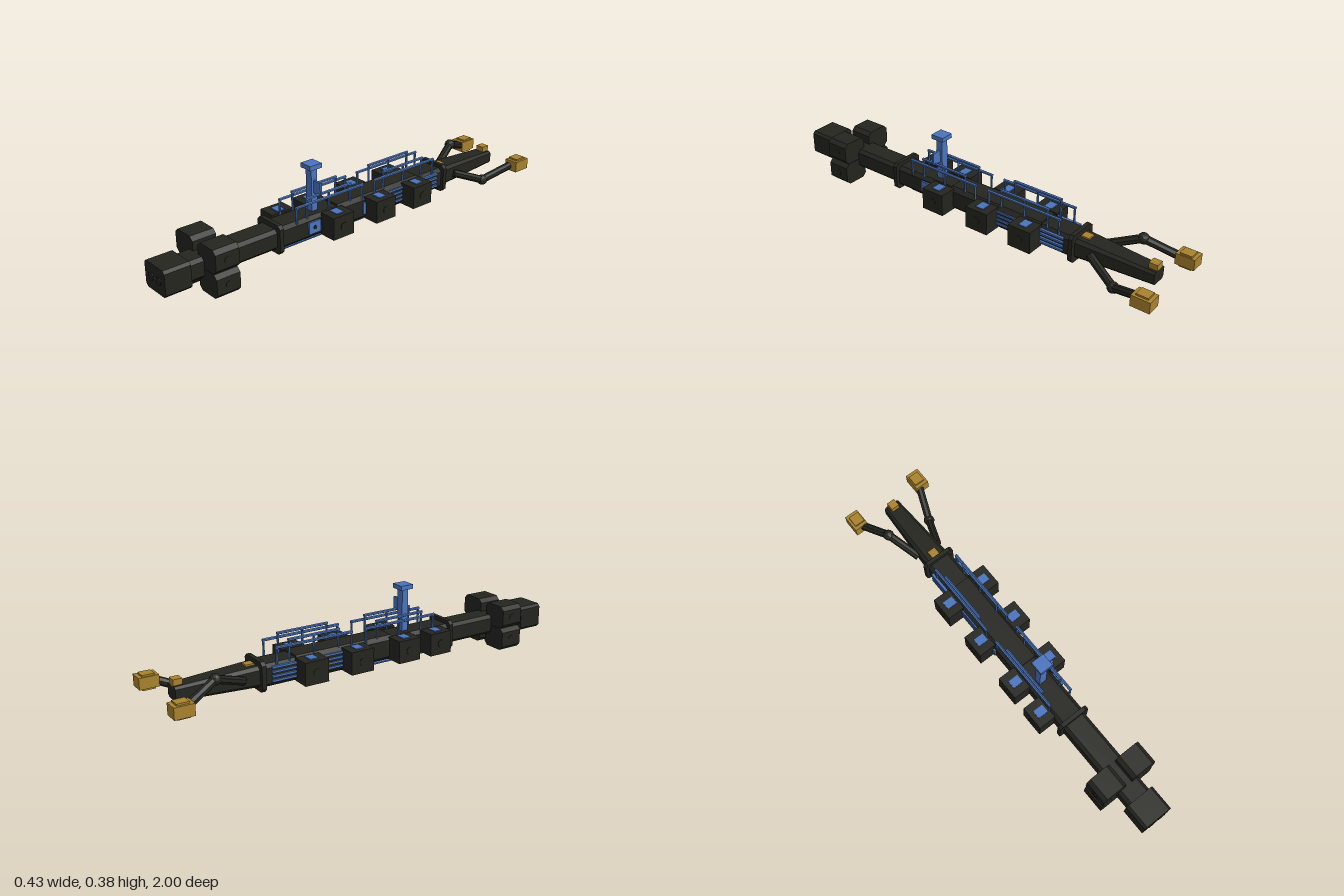
import * as THREE from 'three';

const mat = (color) => new THREE.MeshStandardMaterial({ color, flatShading: true });

export function createModel() {
  const model = new THREE.Group();
  const dark = mat(0x24251f), blue = mat(0x4a74bd), gold = mat(0xa8822e);

  const add = (name, geometry, material) => {
    const mesh = new THREE.Mesh(geometry, material);
    mesh.name = name;
    model.add(mesh);
    return mesh;
  };
  const box = (name, material, w, h, d, x, y, z) => {
    const mesh = add(name, new THREE.BoxGeometry(w, h, d), material);
    mesh.position.set(x, y, z);
    return mesh;
  };
  // Bar along z with chamfered long edges, spanning x0..x1, y0..y1, z0..z1
  const bar = (name, material, x0, x1, y0, y1, z0, z1, c) => {
    const w = (x1 - x0) / 2, h = (y1 - y0) / 2;
    const s = new THREE.Shape([[-w + c, -h], [w - c, -h], [w, -h + c], [w, h - c], [w - c, h],
      [-w + c, h], [-w, h - c], [-w, -h + c]].map(([x, y]) => new THREE.Vector2(x, y)));
    const g = new THREE.ExtrudeGeometry(s, { depth: z1 - z0, bevelEnabled: false });
    const mesh = add(name, g, material);
    mesh.position.set((x0 + x1) / 2, (y0 + y1) / 2, z0);
    return mesh;
  };
  // Straight rod between two points
  const rod = (name, material, a, b, r, sides = 6) => {
    const p = new THREE.Vector3(...a), q = new THREE.Vector3(...b);
    const mesh = add(name, new THREE.CylinderGeometry(r, r, p.distanceTo(q), sides), material);
    mesh.position.copy(p).lerp(q, 0.5);
    mesh.quaternion.setFromUnitVectors(new THREE.Vector3(0, 1, 0), q.sub(p).normalize());
    return mesh;
  };

  // Hull sections
  bar('frontHull', dark, -0.058, 0.058, 0.062, 0.156, 0.43, 0.9, 0.015);
  bar('mainHull', dark, -0.062, 0.062, 0.058, 0.16, -0.54, 0.43, 0.016);
  bar('midHull', dark, -0.066, 0.066, 0.054, 0.168, -0.38, 0.11, 0.018);
  for (const z of [0.435, -0.545]) bar('collar', dark, -0.078, 0.078, 0.044, 0.178, z - 0.01, z + 0.01, 0.015);

  // Nose block with twin ports and a central stud
  bar('noseBlock', dark, -0.073, 0.073, 0.049, 0.167, 0.875, 0.995, 0.012);
  for (const s of [-1, 1]) rod('nosePort', dark, [s * 0.028, 0.108, 0.99], [s * 0.028, 0.108, 0.998], 0.018, 12);
  const stud = add('noseStud', new THREE.OctahedronGeometry(0.009), gold);
  stud.position.set(0, 0.108, 0.991);

  // Cluster of four blocks around the front hull
  for (const s of [-1, 1]) for (const [y0, y1] of [[0, 0.107], [0.109, 0.215]]) {
    const a = s * 0.018, b = s * 0.143;
    bar('clusterBlock', dark, Math.min(a, b), Math.max(a, b), y0, y1, 0.695, 0.807, 0.018);
    const y = (y0 + y1) / 2;
    rod('clusterPort', dark, [s * 0.14, y, 0.75], [s * 0.145, y, 0.75], 0.016, 12);
  }

  // Tail boom, tapering toward the rear
  const tail = bar('tailBoom', dark, -0.058, 0.058, 0.062, 0.156, -0.92, -0.55, 0.015);
  const tp = tail.geometry.attributes.position;
  for (let i = 0; i < tp.count; i++) if (tp.getZ(i) < 0.1) {
    tp.setX(i, tp.getX(i) * 0.68);
    tp.setY(i, tp.getY(i) * 0.66);
  }
  tail.geometry.computeVertexNormals();
  box('tailLamp', gold, 0.04, 0.03, 0.04, 0, 0.152, -0.9);
  box('tailPlate', gold, 0.04, 0.012, 0.04, 0, 0.156, -0.58);

  // Bent rear arms: one elbow up, one down, each with a foot
  for (const s of [-1, 1]) {
    const hip = [s * 0.055, 0.11, -0.63], elbow = [s * 0.112, 0.11 - s * 0.06, -0.78], wrist = [s * 0.17, 0.11, -0.93];
    rod('upperArm', dark, hip, elbow, 0.019, 8);
    rod('lowerArm', dark, elbow, wrist, 0.019, 8);
    const joint = add('elbow', new THREE.IcosahedronGeometry(0.026, 1), dark);
    joint.position.set(...elbow);
    box('foot', gold, 0.067, 0.052, 0.088, s * 0.179, 0.109, -0.956);
    box('footPad', gold, 0.05, 0.068, 0.055, s * 0.176, 0.109, -0.956);
  }

  // Side pods with blue caps and round ports
  for (const s of [-1, 1]) for (const z of s < 0 ? [-0.33, -0.1, 0.15, 0.325] : [-0.33, -0.1, 0.15]) {
    box('sidePod', dark, 0.085, 0.104, 0.115, s * 0.1, 0.111, z);
    box('podCap', blue, 0.05, 0.008, 0.04, s * 0.094, 0.163, z);
    rod('podPort', dark, [s * 0.14, 0.111, z], [s * 0.145, 0.111, z], 0.018, 12);
  }

  // Side hatch, bracket and louvre slats
  for (const s of [-1, 1]) {
    for (const z of [-0.213, -0.445]) for (let i = 0; i < 4; i++)
      box('slat', blue, 0.012, 0.009, 0.115, s * 0.066, 0.085 + i * 0.02, z);
    box('bracket', blue, 0.014, 0.055, 0.014, s * 0.067, 0.112, -0.033);
  }
  box('hatch', blue, 0.016, 0.056, 0.065, 0.062, 0.112, 0.25);
  rod('hatchKnob', dark, [0.068, 0.112, 0.25], [0.073, 0.112, 0.25], 0.009, 8);

  // Stepped deck railings
  const rail = (x, zFront, zBack, top, posts) => {
    for (const z of posts) rod('railPost', blue, [x, 0.15, z], [x, top, z], 0.0055);
    rod('rail', blue, [x, top, zFront + 0.005], [x, top, zBack - 0.005], 0.007);
  };
  for (const s of [-1, 1]) for (const z of [0.34, -0.105]) {
    rail(s * 0.058, z, z - 0.37, 0.225, [z, z - 0.37]);
    rail(s * 0.049, z - 0.062, z - 0.305, 0.246, [z - 0.062, z - 0.185, z - 0.305]);
  }

  // Mast with cap and side panel
  box('mast', blue, 0.037, 0.21, 0.032, 0, 0.26, 0.21);
  box('mastCap', blue, 0.064, 0.021, 0.064, 0, 0.367, 0.21);
  box('mastPanel', blue, 0.048, 0.058, 0.01, 0.04, 0.274, 0.21);

  // Keel pipe and belly lamps
  rod('keelPipe', blue, [0, 0.031, 0.395], [0, 0.031, -0.085], 0.011, 8);
  for (const z of [0.385, 0.155, -0.075]) rod('keelStrut', blue, [0, 0.031, z], [0, 0.065, z], 0.008);
  for (const z of [0.235, -0.1]) box('bellyLamp', gold, 0.045, 0.016, 0.04, 0, 0.051, z);

  return model;
}
